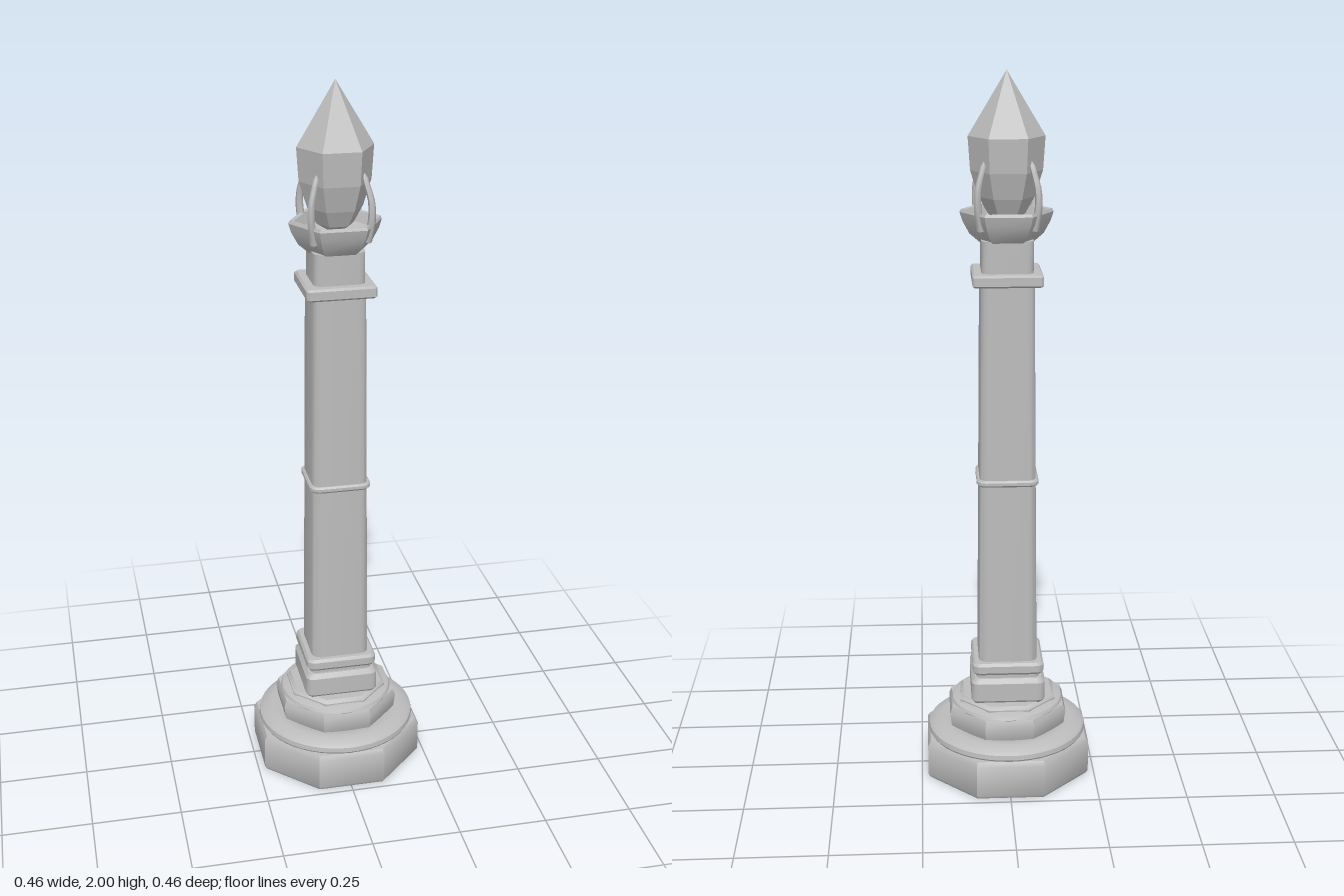
import * as THREE from 'three';
import { toCreasedNormals } from 'three/addons/utils/BufferGeometryUtils.js';

// Regular polygon outline; "flat" puts a side, rather than a corner, on +x.
function polygon(n, flat) {
  const r = flat ? 1 / Math.cos(Math.PI / n) : 1;
  return Array.from({ length: n }, (_, i) => {
    const a = ((i + (flat ? 0.5 : 0)) / n) * Math.PI * 2;
    return [r * Math.cos(a), -r * Math.sin(a)];
  });
}

// Square outline of half width 1 with corners rounded in a few steps.
function roundedSquare(radius, steps) {
  const points = [];
  for (let q = 0; q < 4; q++) {
    const mid = (q + 0.5) * Math.PI / 2;
    const cx = Math.sign(Math.cos(mid)) * (1 - radius);
    const cy = Math.sign(Math.sin(mid)) * (1 - radius);
    for (let s = 0; s <= steps; s++) {
      const a = (q + s / steps) * Math.PI / 2;
      points.push([cx + radius * Math.cos(a), -cy - radius * Math.sin(a)]);
    }
  }
  return points;
}

// Stacks scaled copies of an outline; levels are [half width, y], bottom to top.
function loft(outline, levels, crease = 0.6) {
  const pos = [];
  const n = outline.length;
  const at = (l, i) => [outline[i % n][0] * l[0], l[1], outline[i % n][1] * l[0]];
  for (let k = 0; k < levels.length - 1; k++) {
    const lo = levels[k], hi = levels[k + 1];
    for (let i = 0; i < n; i++) {
      if (lo[0] > 0) pos.push(...at(lo, i), ...at(lo, i + 1), ...at(hi, i + 1));
      if (hi[0] > 0) pos.push(...at(lo, i), ...at(hi, i + 1), ...at(hi, i));
    }
  }
  const geo = new THREE.BufferGeometry();
  geo.setAttribute('position', new THREE.Float32BufferAttribute(pos, 3));
  return toCreasedNormals(geo, crease);
}

export function createModel() {
  const model = new THREE.Group();
  model.name = 'crystalPillar';
  const stone = new THREE.MeshStandardMaterial({ color: 0xbcbcbc });
  stone.name = 'greyStone';

  const add = (name, geometry) => {
    const mesh = new THREE.Mesh(geometry, stone);
    mesh.name = name;
    model.add(mesh);
    return mesh;
  };

  const octagon = polygon(8, true);
  const hexagon = polygon(6, false);
  const round = polygon(48, false);
  const block = roundedSquare(0.2, 3);
  const shaft = roundedSquare(0.3, 3);
  const square = roundedSquare(0.06, 1);

  // Stepped foot: octagonal slabs with round mouldings between them
  add('basePlinth', loft(octagon, [[0, 0], [0.226, 0], [0.232, 0.01], [0.232, 0.1], [0.224, 0.113], [0, 0.113]]));
  add('lowerMoulding', loft(round, [[0, 0.108], [0.222, 0.108], [0.228, 0.118], [0.226, 0.131],
    [0.215, 0.14], [0.19, 0.148], [0.17, 0.148], [0.15, 0.142], [0, 0.142]]));
  add('upperPlinth', loft(octagon, [[0, 0.135], [0.155, 0.135], [0.163, 0.155], [0.167, 0.19], [0.16, 0.208], [0, 0.208]]));
  add('upperMoulding', loft(round, [[0, 0.2], [0.158, 0.2], [0.162, 0.208], [0.158, 0.216], [0.14, 0.223], [0, 0.223]]));
  add('plinthCap', loft(octagon, [[0, 0.215], [0.136, 0.215], [0.136, 0.227], [0.126, 0.236], [0, 0.236]]));

  // Square blocks under the shaft
  add('footBlock', loft(block, [[0, 0.232], [0.098, 0.232], [0.105, 0.242], [0.105, 0.295], [0.096, 0.308], [0, 0.308]]));
  add('footNeck', loft(block, [[0.09, 0.3], [0.09, 0.33]]));
  add('footCollar', loft(block, [[0, 0.32], [0.096, 0.32], [0.101, 0.327], [0.101, 0.347], [0.095, 0.355], [0, 0.355]]));

  // Tapered shaft with a thin band
  add('shaft', loft(shaft, [[0, 0.35], [0.083, 0.35], [0.073, 1.445], [0, 1.445]]));
  add('shaftBand', loft(shaft, [[0, 0.88], [0.082, 0.88], [0.086, 0.885], [0.086, 0.893], [0.082, 0.898], [0, 0.898]]));

  // Capital and neck
  add('capital', loft(square, [[0, 1.44], [0.09, 1.44], [0.095, 1.445], [0.095, 1.468], [0.09, 1.474], [0, 1.474]]));
  add('neck', loft(shaft, [[0, 1.47], [0.07, 1.47], [0.07, 1.56], [0, 1.56]]));

  // Hollow six-sided bowl
  add('bowl', loft(hexagon, [[0, 1.528], [0.03, 1.53], [0.065, 1.542], [0.1, 1.572], [0.118, 1.605],
    [0.126, 1.63], [0.122, 1.638], [0.112, 1.636], [0.098, 1.61], [0.06, 1.595], [0, 1.595]]));

  // Four claws holding the crystal, on the diagonals
  const path = new THREE.CatmullRomCurve3([[0.1, 1.59], [0.113, 1.65], [0.111, 1.7], [0.097, 1.74], [0.085, 1.775]]
    .map(([r, y]) => new THREE.Vector3(r, y, 0)));
  const clawGeometry = new THREE.TubeGeometry(path, 10, 0.012, 6);
  const p = clawGeometry.attributes.position;
  for (let ring = 0; ring <= 10; ring++) {
    const centre = path.getPointAt(ring / 10);
    const scale = ring === 10 ? 0 : 1 - 0.4 * ring / 10;
    for (let i = ring * 7; i < ring * 7 + 7; i++) {
      p.setXYZ(i, centre.x + (p.getX(i) - centre.x) * scale,
        centre.y + (p.getY(i) - centre.y) * scale, p.getZ(i) * scale);
    }
  }
  clawGeometry.computeVertexNormals();
  for (let i = 0; i < 4; i++) {
    add('claw', clawGeometry).rotation.y = (i + 0.5) * Math.PI / 2;
  }

  // Faceted six-sided crystal
  add('crystal', loft(hexagon, [[0, 1.595], [0.05, 1.625], [0.075, 1.67], [0.097, 1.74], [0.103, 1.83], [0, 2]], 0.05));

  return model;
}
